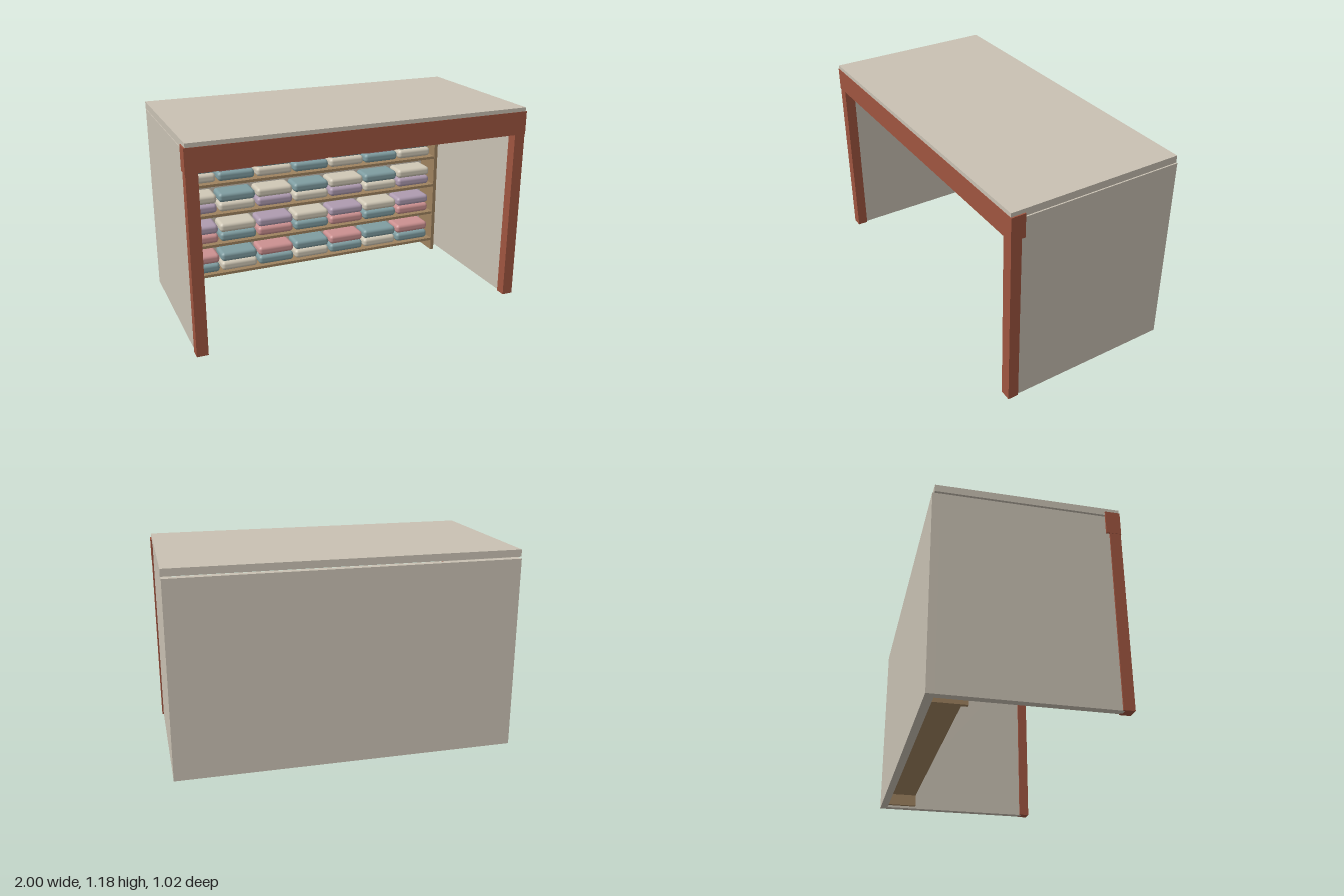
import * as THREE from 'three';
import { RoundedBoxGeometry } from 'three/addons/geometries/RoundedBoxGeometry.js';

const mat = (name, color) => {
  const m = new THREE.MeshStandardMaterial({ color });
  m.name = name;
  return m;
};

export function createModel() {
  const plaster = mat('plaster', 0xc9c1b3);
  const redWood = mat('redWood', 0x9f5540);
  const shelfWood = mat('shelfWood', 0x9e825f);
  const cloth = {
    t: mat('tealCloth', 0x7f9da1),
    p: mat('pinkCloth', 0xcb9090),
    v: mat('purpleCloth', 0xae9bb0),
    c: mat('creamCloth', 0xd0c8b6),
  };

  const model = new THREE.Group();
  model.name = 'stall';

  // Box given by its lower and upper limits on each axis
  function box(name, material, [x0, x1], [y0, y1], [z0, z1], parent = model) {
    const mesh = new THREE.Mesh(new THREE.BoxGeometry(x1 - x0, y1 - y0, z1 - z0), material);
    mesh.position.set((x0 + x1) / 2, (y0 + y1) / 2, (z0 + z1) / 2);
    mesh.name = name;
    parent.add(mesh);
  }
  const sideRange = (s, a, b) => (s > 0 ? [a, b] : [-b, -a]);

  // Shell: back, sides and a roof resting just above them
  box('backWall', plaster, [-0.99, 0.99], [0, 1.128], [-0.51, -0.465]);
  box('roof', plaster, [-0.993, 0.993], [1.137, 1.178], [-0.498, 0.51]);
  box('ceilingJoist', shelfWood, [-0.94, 0.94], [1.08, 1.137], [0.067, 0.137]);

  // Front frame
  box('frontBeam', redWood, [-1, 1], [1.02, 1.155], [0.43, 0.512]);
  for (const s of [1, -1]) {
    const side = s > 0 ? 'left' : 'right';
    box(side + 'Wall', plaster, sideRange(s, 0.945, 0.99), [0, 1.128], [-0.465, 0.46]);
    box(side + 'Post', redWood, sideRange(s, 0.933, 0.998), [0, 1.02], [0.449, 0.51]);
  }

  // Shelf unit against the back wall
  const shelves = new THREE.Group();
  shelves.name = 'shelfUnit';
  model.add(shelves);
  for (const s of [1, -1]) {
    box('shelfUpright', shelfWood, sideRange(s, 0.872, 0.895), [0, 0.888], [-0.465, -0.288], shelves);
  }
  for (let i = 0; i < 5; i++) {
    const y = 0.07 + i * 0.198;
    box('shelfBoard', shelfWood, [-0.872, 0.872], [y, y + 0.017], [-0.465, -0.29], shelves);
  }

  // Folded cloths, two high; each row alternates two colours
  const rows = ['tc', 'pt', 'pt', 'vc', 'vc', 'ct', 'ct', 'tp'];
  const clothGeometry = new RoundedBoxGeometry(0.235, 0.058, 0.15, 2, 0.022);
  rows.forEach((pair, r) => {
    const y = 0.123 + Math.floor(r / 2) * 0.198 + (r % 2) * 0.061;
    for (let i = 0; i < 7; i++) {
      const mesh = new THREE.Mesh(clothGeometry, cloth[pair[i % 2]]);
      mesh.position.set(-0.757 + i * 0.247, y, -0.37);
      mesh.name = 'foldedCloth';
      shelves.add(mesh);
    }
  });
  return model;
}
